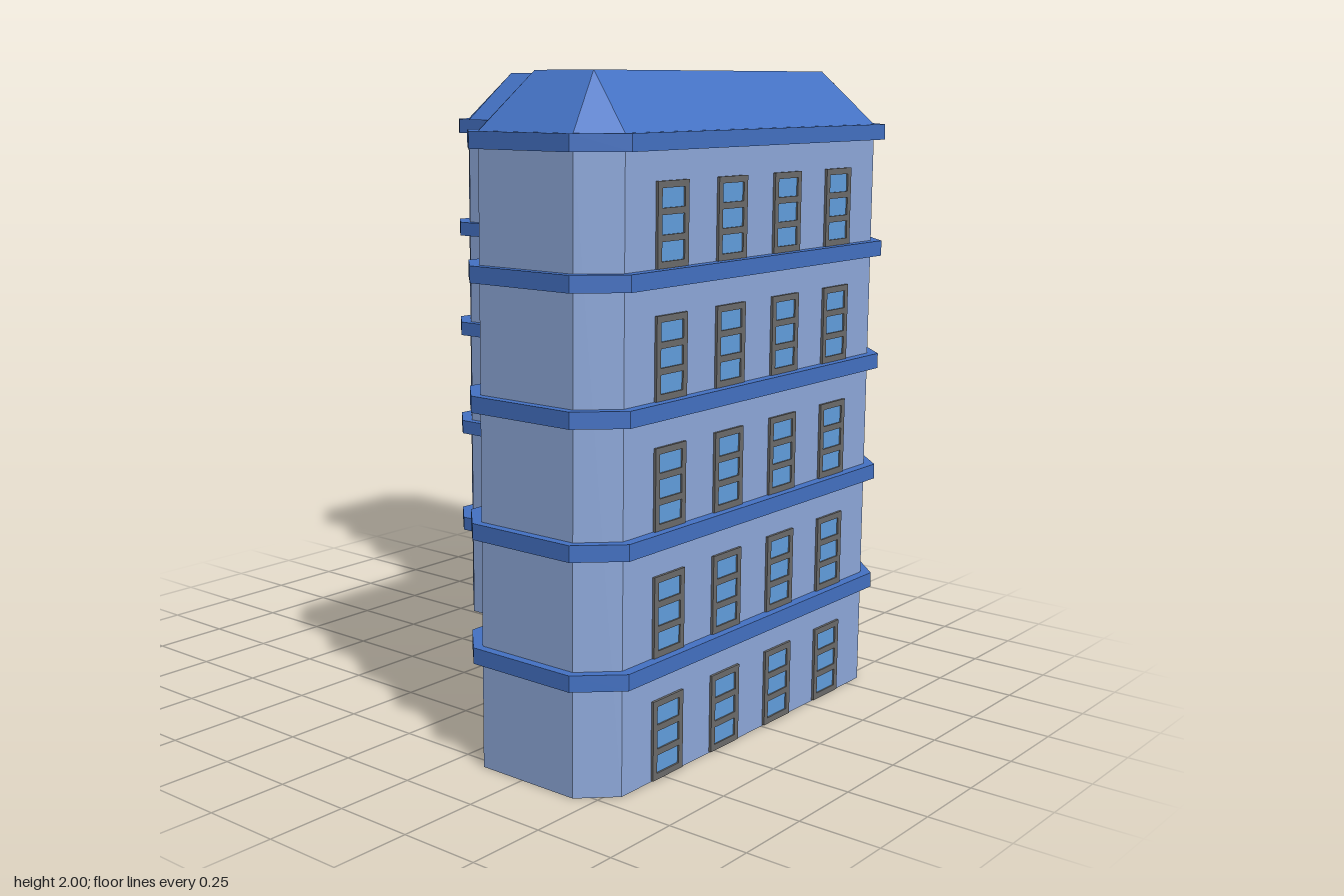
import * as THREE from 'three';

const mat = (color) => new THREE.MeshStandardMaterial({ color, flatShading: true });

// L-shaped plans with chamfered corners, as [x, z]
const WALL = [[-0.79, -0.69], [-0.69, -0.79], [0.57, -0.79], [0.787, -0.57], [0.787, 0.69], [0.69, 0.787],
  [0.35, 0.787], [0.26, 0.69], [0.26, -0.17], [0.165, -0.26], [-0.69, -0.26], [-0.79, -0.36]];
const SLAB = [[-0.82, -0.71], [-0.71, -0.82], [0.58, -0.82], [0.818, -0.585], [0.818, 0.70], [0.70, 0.815],
  [0.34, 0.815], [0.225, 0.70], [0.225, -0.16], [0.155, -0.23], [-0.71, -0.23], [-0.82, -0.34]];
const RIDGE = [[-0.63, -0.63], [0.51, -0.63], [0.627, -0.51], [0.627, 0.627],
  [0.415, 0.627], [0.415, -0.24], [0.23, -0.42], [-0.63, -0.42]];
// ridge corner reached from each wall corner
const RIDGE_OF = [0, 0, 1, 2, 3, 3, 4, 4, 5, 6, 7, 7];
const EAVE_Y = 1.835, TOP_Y = 2;
const SLAB_Y = [0.32, 0.688, 1.055, 1.42, 1.788], SLAB_H = 0.048;

const planShape = (pts) => new THREE.Shape(pts.map(([x, z]) => new THREE.Vector2(x, -z)));

function prism(name, pts, y, height, material) {
  const geo = new THREE.ExtrudeGeometry(planShape(pts), { depth: height, bevelEnabled: false });
  geo.rotateX(-Math.PI / 2);
  const mesh = new THREE.Mesh(geo, material);
  mesh.name = name;
  mesh.position.y = y;
  return mesh;
}

// Framed opening in its own xy plane, facing +z, with a grid of panes
function opening(name, { w, h, cols, rows, rim, bar }, frameMat, paneMat) {
  const rect = (Type, x, y, rw, rh) => new Type([[x, y], [x + rw, y], [x + rw, y + rh], [x, y + rh]]
    .map(([px, py]) => new THREE.Vector2(px, py)));
  const shape = rect(THREE.Shape, -w / 2, -h / 2, w, h);
  const pw = (w - 2 * rim - (cols - 1) * bar) / cols;
  const ph = (h - 2 * rim - (rows - 1) * bar) / rows;
  for (let c = 0; c < cols; c++) {
    for (let r = 0; r < rows; r++) {
      shape.holes.push(rect(THREE.Path, -w / 2 + rim + c * (pw + bar), -h / 2 + rim + r * (ph + bar), pw, ph));
    }
  }
  const frameGeo = new THREE.ExtrudeGeometry(shape, { depth: 0.018, bevelEnabled: false });
  const frame = new THREE.Mesh(frameGeo.translate(0, 0, -0.01), frameMat);
  frame.name = 'frame';
  const pane = new THREE.Mesh(new THREE.BoxGeometry(w - rim, h - rim, 0.012), paneMat);
  pane.name = 'pane';
  pane.position.z = -0.003;
  const group = new THREE.Group();
  group.name = name;
  group.add(frame, pane);
  return group;
}

function buildRoof(material) {
  const pos = [];
  WALL.forEach((a, i) => {
    const j = (i + 1) % WALL.length, b = WALL[j];
    const ra = RIDGE[RIDGE_OF[i]], rb = RIDGE[RIDGE_OF[j]];
    pos.push(b[0], EAVE_Y, b[1], a[0], EAVE_Y, a[1], ra[0], TOP_Y, ra[1]);
    if (ra !== rb) pos.push(b[0], EAVE_Y, b[1], ra[0], TOP_Y, ra[1], rb[0], TOP_Y, rb[1]);
  });
  const geo = new THREE.BufferGeometry();
  geo.setAttribute('position', new THREE.Float32BufferAttribute(pos, 3));
  geo.computeVertexNormals();
  const slopes = new THREE.Mesh(geo, material);
  slopes.name = 'roofSlopes';
  const top = new THREE.Mesh(new THREE.ShapeGeometry(planShape(RIDGE)).rotateX(-Math.PI / 2), material);
  top.name = 'roofTop';
  top.position.y = TOP_Y;
  const roof = new THREE.Group();
  roof.name = 'roof';
  roof.add(slopes, top);
  return roof;
}

export function createModel() {
  const model = new THREE.Group();
  model.name = 'cornerBuilding';
  const wallMat = mat(0x8faadc), blueMat = mat(0x4472c4);
  const frameMat = mat(0x6c6c6c), glassMat = mat(0x62a0e0), doorMat = mat(0xb06032);

  // Walls, floor bands and roof
  model.add(prism('walls', WALL, 0, EAVE_Y - 0.01, wallMat));
  SLAB_Y.forEach((y) => model.add(prism('floorBand', SLAB, y, SLAB_H, blueMat)));
  model.add(buildRoof(blueMat));

  const place = (part, x, y, z, nx, ny, nz) => {
    part.position.set(x, y, z);
    part.lookAt(x + nx, y + ny, z + nz);
    model.add(part);
  };

  const windowSpec = { w: 0.14, h: 0.237, cols: 1, rows: 3, rim: 0.019, bar: 0.019 };
  const narrowSpec = { w: 0.104, h: 0.237, cols: 1, rows: 1, rim: 0.014, bar: 0 };
  const doorSpec = { w: 0.212, h: 0.237, cols: 2, rows: 1, rim: 0.01, bar: 0.005 };
  const cx = 0.6785, cz = -0.68;

  for (let floor = 0; floor < 5; floor++) {
    const y = (floor ? SLAB_Y[floor - 1] + SLAB_H : 0.003) + 0.119;
    // Windows on the right and back walls, mirrored across the corner
    for (const s of [0.487, 0.206, -0.075, -0.357]) {
      place(opening('sideWindow', windowSpec, frameMat, glassMat), 0.787, y, s, 1, 0, 0);
      place(opening('backWindow', windowSpec, frameMat, glassMat), -s, y, -0.79, 0, 0, -1);
    }
    // Entrance and narrow windows on the chamfered corner
    const corner = floor ? opening('cornerWindow', narrowSpec, frameMat, glassMat)
      : opening('entranceDoor', doorSpec, frameMat, doorMat);
    place(corner, cx, y, cz, 1, 0, -1);
  }

  // Skylight lying on the corner slope of the roof
  const skylight = opening('skylight', { w: 0.108, h: 0.108, cols: 1, rows: 1, rim: 0.013, bar: 0 }, frameMat, glassMat);
  place(skylight, 0.621, 1.921, -0.622, 0.73 / Math.SQRT2, 0.69, -0.73 / Math.SQRT2);

  return model;
}
